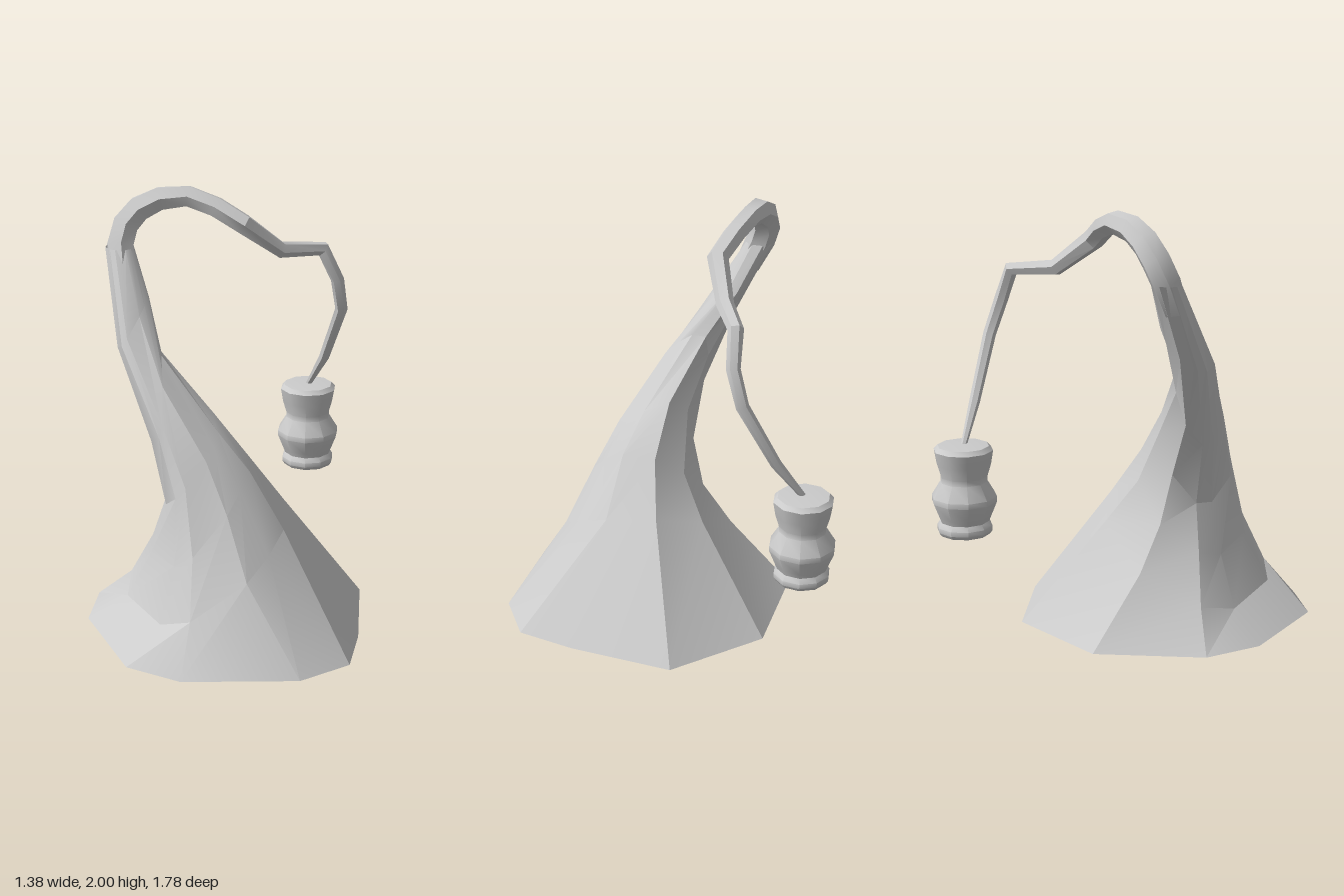
import * as THREE from 'three';
import { toCreasedNormals } from 'three/addons/utils/BufferGeometryUtils.js';

const material = new THREE.MeshStandardMaterial({ color: 0xcccccc, side: THREE.DoubleSide });
const V = (x, y, z) => new THREE.Vector3(x, y, z);

// Skin a list of equal-sized rings of points
function loft(rings) {
  const n = rings[0].length;
  const pos = rings.flat().flatMap((p) => [p.x, p.y, p.z]);
  const index = [];
  for (let i = 0; i < rings.length - 1; i++) {
    for (let j = 0; j < n; j++) {
      const k = (j + 1) % n;
      const a = i * n + j, b = i * n + k, c = a + n, d = b + n;
      index.push(a, c, b, b, c, d);
    }
  }
  const g = new THREE.BufferGeometry();
  g.setAttribute('position', new THREE.Float32BufferAttribute(pos, 3));
  g.setIndex(index);
  return g;
}

function part(name, geometry, crease) {
  const mesh = new THREE.Mesh(toCreasedNormals(geometry, crease), material);
  mesh.name = name;
  return mesh;
}

// Point at angle a on a smooth, tilted ring through four points (-x, +x, +z, -z sides)
function ringPoint([l, r, f, b], a) {
  const c = Math.cos(a), s = Math.sin(a), c2 = Math.cos(2 * a);
  const mix = (i) => (l[i] + r[i] + f[i] + b[i]) / 4 + c * (r[i] - l[i]) / 2
    + s * (f[i] - b[i]) / 2 + c2 * (l[i] + r[i] - f[i] - b[i]) / 4;
  return V(mix(0), mix(1), mix(2));
}

// Flared, leaning trunk, hollow underneath
function trunk() {
  const base = [[-0.05, -0.49], [0.44, -0.35], [0.62, 0.12], [0.69, 0.40], [0.55, 0.64],
    [0.08, 0.885], [-0.20, 0.87], [-0.59, 0.52], [-0.68, 0.25], [-0.53, -0.24]];
  const sections = [
    [[-0.49, 0.20, 0.24], [0.285, 0.50, 0.27], [0.00, 0.20, 0.715], [-0.03, 0.50, -0.09]],
    [[-0.36, 0.42, 0.27], [0.13, 0.78, 0.29], [-0.03, 0.45, 0.59], [-0.07, 0.70, 0.06]],
    [[-0.285, 0.63, 0.28], [-0.02, 0.95, 0.29], [-0.09, 0.75, 0.51], [-0.19, 0.97, 0.14]],
    [[-0.37, 0.93, 0.29], [-0.32, 1.27, 0.25], [-0.23, 1.00, 0.435], [-0.375, 1.19, 0.17]],
    [[-0.55, 1.32, 0.22], [-0.45, 1.50, 0.13], [-0.47, 1.35, 0.315], [-0.50, 1.45, 0.09]],
    [[-0.69, 1.72, 0.07], [-0.555, 1.72, 0.07], [-0.62, 1.72, 0.135], [-0.62, 1.72, 0.0]],
  ];
  const rings = [base.map(([x, z]) => V(x, 0.013 - 0.018 * x, z))];
  for (const section of sections) {
    rings.push(base.map(([x, z]) => ringPoint(section, Math.atan2(z - 0.2, x))));
  }
  return loft(rings);
}

// Thin crooked branch that curls over the top and down to the lantern
function branch() {
  // x, y, z, radius
  const path = [
    [-0.585, 1.60, 0.115, 0.06], [-0.622, 1.73, 0.065, 0.069], [-0.612, 1.82, 0.025, 0.069],
    [-0.56, 1.89, -0.01, 0.066], [-0.47, 1.938, -0.05, 0.06], [-0.35, 1.95, -0.10, 0.053],
    [-0.22, 1.907, -0.125, 0.051], [-0.09, 1.835, -0.145, 0.05], [0.03, 1.69, -0.30, 0.04],
    [0.165, 1.665, -0.485, 0.036], [0.225, 1.51, -0.527, 0.032], [0.225, 1.35, -0.583, 0.03],
    [0.10, 1.06, -0.675, 0.025], [-0.01, 0.885, -0.742, 0.014],
  ];
  const pts = path.map((p) => V(p[0], p[1], p[2]));
  const sides = 6;
  let u = V(1, 0, 0);
  const rings = pts.map((p, i) => {
    const before = p.clone().sub(pts[Math.max(i - 1, 0)]).normalize();
    const after = pts[Math.min(i + 1, pts.length - 1)].clone().sub(p).normalize();
    const t = before.add(after).normalize();
    u = u.clone().addScaledVector(t, -u.dot(t)).normalize();
    const v = u.clone().cross(t);
    return Array.from({ length: sides }, (_, j) => {
      const a = j / sides * Math.PI * 2;
      return p.clone().addScaledVector(u, path[i][3] * Math.cos(a))
        .addScaledVector(v, path[i][3] * Math.sin(a));
    });
  });
  return loft(rings);
}

// Ten-sided hanging lantern with a waist, belly and foot
function lantern() {
  const profile = [[0, 0.46], [0.118, 0.463], [0.130, 0.48], [0.130, 0.502], [0.115, 0.525],
    [0.125, 0.55], [0.153, 0.62], [0.153, 0.645], [0.110, 0.715], [0.110, 0.74],
    [0.128, 0.80], [0.139, 0.865], [0.120, 0.885], [0, 0.893]];
  return new THREE.LatheGeometry(profile.map(([r, y]) => new THREE.Vector2(r, y)), 10, Math.PI / 2);
}

export function createModel() {
  const group = new THREE.Group();
  group.name = 'crookedLanternTree';
  group.add(part('trunk', trunk(), 0.45));
  group.add(part('branch', branch(), 0.6));
  const lamp = part('lantern', lantern(), 0.65);
  lamp.position.set(-0.013, 0, -0.745);
  group.add(lamp);
  return group;
}
